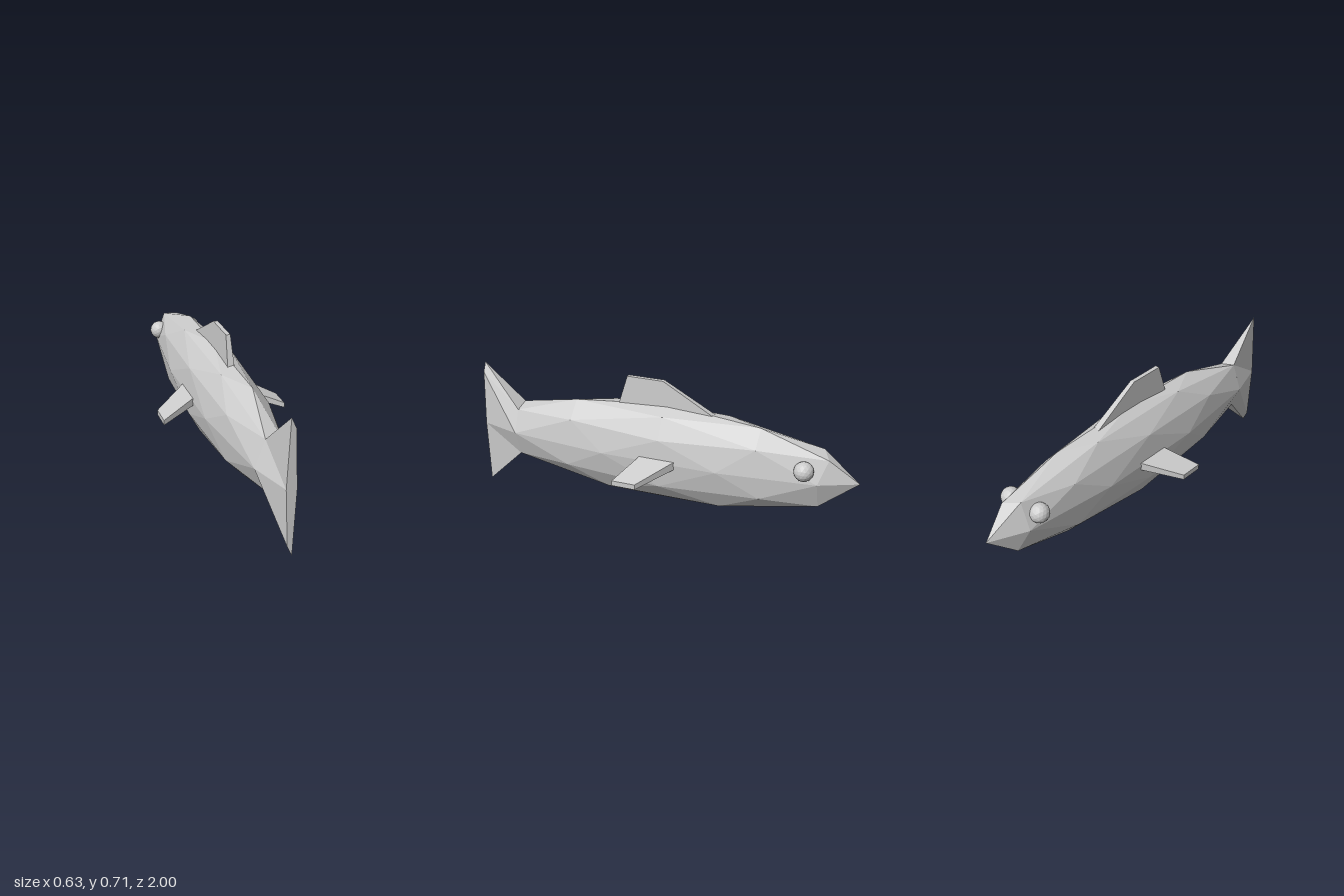
import * as THREE from 'three';

const skin = new THREE.MeshStandardMaterial({ color: 0xcccccc, flatShading: true });
skin.name = 'light grey';

function mesh(name, positions) {
  const g = new THREE.BufferGeometry();
  g.setAttribute('position', new THREE.Float32BufferAttribute(positions, 3));
  g.computeVertexNormals();
  const m = new THREE.Mesh(g, skin);
  m.name = name;
  return m;
}

// Closed solid between two rings, counter-clockwise as seen from beyond ring b
function loft(name, a, b) {
  const out = [], n = a.length;
  const tri = (...pts) => pts.forEach((p) => out.push(...p));
  for (let i = 0; i < n; i++) {
    const j = (i + 1) % n;
    tri(a[i], a[j], b[j]);
    tri(a[i], b[j], b[i]);
  }
  for (let i = 1; i < n - 1; i++) {
    tri(b[0], b[i], b[i + 1]);
    tri(a[0], a[i + 1], a[i]);
  }
  return mesh(name, out);
}

const CX = -0.0045, CY = 0.335, CZ = -0.03;
const SX = 0.151, SY = 0.256, SZ = 0.97;
const TAIL_Z = 0.79;

export function createModel() {
  const fish = new THREE.Group();
  fish.name = 'fish';

  // Body: stretched icosphere with a vertex on top, its rear cap cut off flat
  const ball = new THREE.IcosahedronGeometry(1, 1);
  ball.rotateZ(-Math.atan(2 / (1 + Math.sqrt(5))));
  const p = ball.getAttribute('position');
  const body = [];
  for (let f = 0; f < p.count; f += 3) {
    const ids = [f, f + 1, f + 2];
    if (ids.some((i) => p.getZ(i) > 0.99)) continue;
    for (const i of ids) {
      const z = p.getZ(i);
      body.push(CX + SX * p.getX(i), CY + SY * p.getY(i), z > 0.79 ? TAIL_Z : CZ + SZ * z);
    }
  }
  fish.add(mesh('body', body));

  // Tail: the open hexagon squeezed thin and stretched tall
  const hexagon = [
    [0.588, 0], [0.276, 0.447], [-0.263, 0.526],
    [-0.588, 0], [-0.276, -0.447], [0.263, -0.526],
  ];
  const tailRing = (sx, sy, z) => hexagon.map(([x, y]) => [CX + sx * x, CY + sy * y, z]);
  fish.add(loft('tailFin', tailRing(SX, SY, TAIL_Z), tailRing(0.0425, 0.634, 1)));

  // Dorsal fin, rooted inside the back
  const backRing = (xl, xr, y, zBack, zFront) =>
    [[xl, y, zBack], [xr, y, zBack], [xr, y, zFront], [xl, y, zFront]];
  fish.add(loft('dorsalFin',
    backRing(-0.021, 0.013, 0.56, 0.226, -0.287),
    backRing(-0.015, 0.007, 0.712, 0.18, -0.01)));

  for (const s of [1, -1]) {
    const side = s > 0 ? 'left' : 'right';

    // Side fins, swept back and down
    const ring = (x, yLow, yHigh, zBack, zFront) => {
      const r = [[zBack, yLow], [zFront, yLow], [zFront, yHigh], [zBack, yHigh]]
        .map(([z, y]) => [s * x - 0.001, y, z]);
      return s > 0 ? r : r.reverse();
    };
    fish.add(loft(side + 'SideFin',
      ring(0.115, 0.32, 0.362, 0.055, -0.135),
      ring(0.313, 0.262, 0.288, 0.135, 0.015)));

    // Eyes
    const eye = new THREE.Mesh(new THREE.IcosahedronGeometry(0.048, 2), skin);
    eye.name = side + 'Eye';
    eye.position.set(s * 0.092, 0.4, -0.75);
    fish.add(eye);
  }
  return fish;
}
